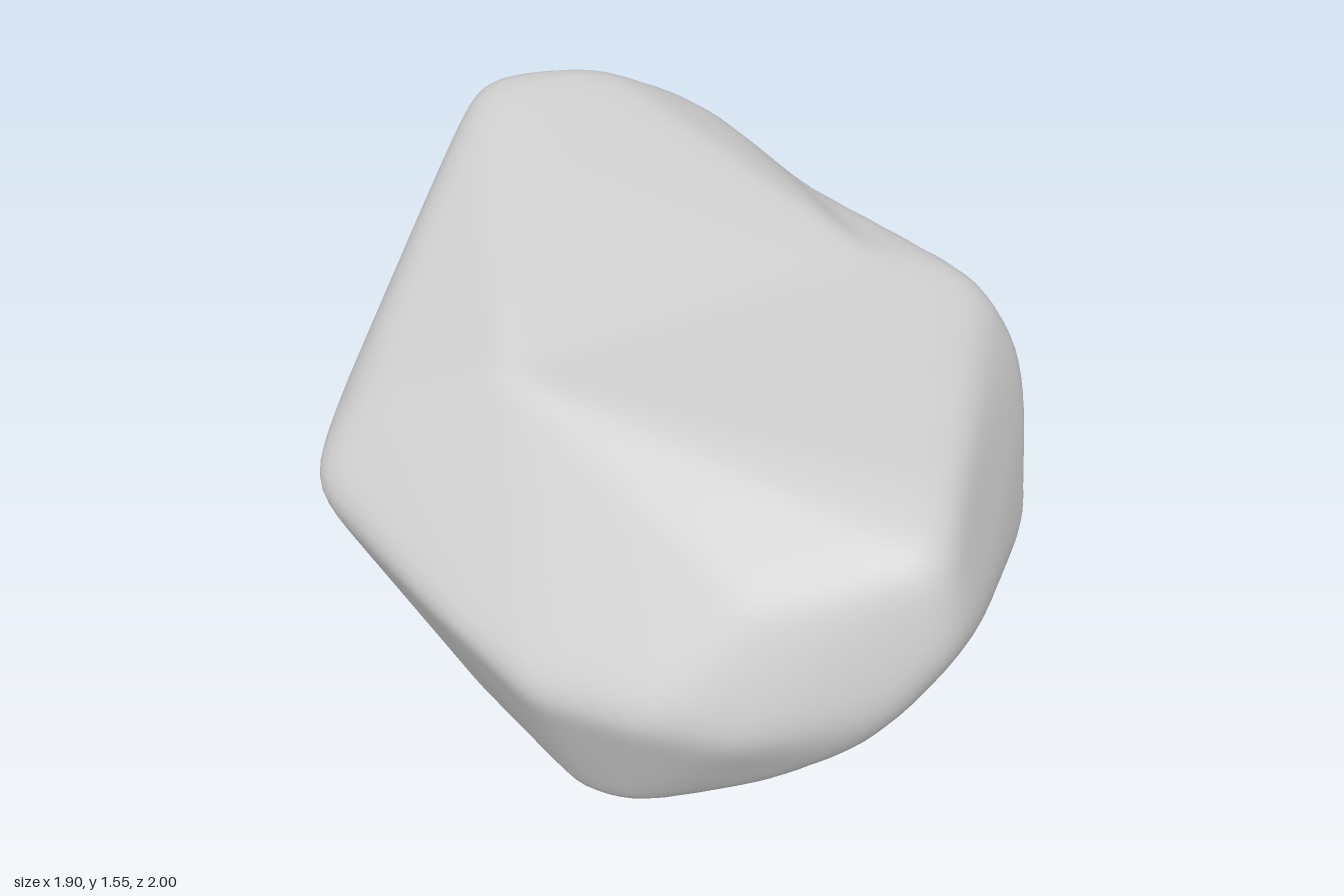
import * as THREE from 'three';
import { ConvexGeometry } from 'three/addons/geometries/ConvexGeometry.js';
import { mergeVertices } from 'three/addons/utils/BufferGeometryUtils.js';

const CENTRE = new THREE.Vector3(0, 0.65, -0.05);

// corners of the underside
const BASE = [
  [-0.605, 0.04, 0.02], [-0.44, -0.01, 0.02], [-0.45, 0.055, 0.53], [-0.37, 0.12, 0.65],
  [-0.1, 0.13, 0.69], [0.06, 0.09, 0.3], [0.06, 0.09, -0.5], [-0.33, 0.095, -0.64],
  [-0.35, 0.01, -0.23], [0.06, 0.15, -0.73], [-0.15, 0.18, -0.81], [-0.56, 0.08, -0.23],
  [0.74, 0.445, 0.3], [0.74, 0.445, -0.2], [0.5, 0.34, -0.66], [0.57, 0.42, -0.6],
  [0.42, 0.275, 0.58], [0.6, 0.41, 0.66],
];
// corners of the side walls and the back wall
const WALLS = [
  [-0.5, 0.35, -0.7], [-0.3, 0.47, -0.97], [-0.3, 1.02, -1.02], [-0.49, 1, -0.89],
  [-0.69, 0.88, -0.63], [-0.83, 0.7, -0.39], [-0.84, 0.88, -0.37], [-0.975, 0.85, -0.1],
  [-0.975, 0.79, -0.1], [-0.71, 0.27, -0.19], [-0.82, 0.49, -0.1], [-0.84, 1, -0.12],
  [0.22, 0.9, -0.88], [0.58, 1.225, -0.58], [0.59, 0.6, -0.715], [0.74, 0.75, -0.48],
  [0.82, 0.8, -0.31], [0.965, 0.79, 0.07],
];
// crest across the top, and the shoulder at its left end
const CREST = [[-0.48, 1.165, 0.1], [0.1, 1.18, 0.04], [0.6, 1.22, 0.02]];
const SHOULDER = [[0.78, 1.215, 0.08], [0.86, 1.16, 0.15], [0.945, 1, 0.2]];
const FRONT = [
  [-0.81, 0.7, 0.28], [-0.63, 0.6, 0.63], [-0.42, 0.6, 0.83], [-0.2, 0.55, 0.935],
  [-0.12, 0.88, 0.81], [-0.05, 0.3, 0.85], [0.1, 0.43, 0.95], [0.18, 0.58, 1.015],
  [0.31, 0.74, 1.025], [0.3, 0.99, 0.95], [0.4, 1.06, 0.8], [0.45, 0.75, 0.925],
  [0.3, 0.21, 0.55], [0.845, 0.6, 0.49], [0.945, 0.85, 0.28],
];
const PEAK = [
  [-0.28, 1.56, -0.8], [0.03, 1.58, -0.76], [-0.2, 1.54, -0.67], [0.35, 1.43, -0.75],
  [-0.22, 1.45, -0.94], [0.1, 1.41, -0.9],
];

// face planes of the convex block around some corners, seen from the centre
function block(...sets) {
  const points = sets.flat().map((p) => new THREE.Vector3(...p).sub(CENTRE));
  const { position, normal } = new ConvexGeometry(points).attributes;
  const planes = [];
  for (let i = 0; i < position.count; i += 3) {
    const n = new THREE.Vector3().fromBufferAttribute(normal, i);
    planes.push({ n, h: n.dot(new THREE.Vector3().fromBufferAttribute(position, i)) });
  }
  return planes;
}

// distance from the centre to a block's surface along a direction
function reach(planes, dir) {
  let r = Infinity;
  for (const { n, h } of planes) {
    const c = n.dot(dir);
    if (c > 1e-4) r = Math.min(r, h / c);
  }
  return r;
}

// soften the edges by moving each vertex towards its neighbours
function soften(geometry, rounds) {
  const pos = geometry.attributes.position, index = geometry.index.array;
  const near = Array.from({ length: pos.count }, () => new Set());
  for (let i = 0; i < index.length; i += 3) {
    for (let k = 0; k < 3; k++) {
      const a = index[i + k], b = index[i + (k + 1) % 3];
      near[a].add(b);
      near[b].add(a);
    }
  }
  const v = new THREE.Vector3();
  for (let round = 0; round < rounds; round++) {
    const old = near.map((_, i) => new THREE.Vector3().fromBufferAttribute(pos, i));
    near.forEach((set, i) => {
      v.set(0, 0, 0);
      set.forEach((j) => v.add(old[j]));
      v.divideScalar(set.size).lerp(old[i], 0.4);
      pos.setXYZ(i, v.x, v.y, v.z);
    });
  }
}

export function createModel() {
  // the boulder is the union of a low body and a high back
  const body = block(BASE, WALLS, CREST, SHOULDER, FRONT);
  const back = block(BASE, WALLS, CREST, PEAK);

  let geometry = new THREE.IcosahedronGeometry(1, 30);
  geometry.deleteAttribute('uv');
  geometry.deleteAttribute('normal');
  geometry = mergeVertices(geometry, 1e-4);
  const pos = geometry.attributes.position, dir = new THREE.Vector3();
  for (let i = 0; i < pos.count; i++) {
    dir.fromBufferAttribute(pos, i).normalize();
    const r = Math.max(reach(body, dir), reach(back, dir));
    dir.multiplyScalar(r).add(CENTRE);
    pos.setXYZ(i, dir.x, dir.y, dir.z);
  }
  soften(geometry, 4);
  geometry.computeVertexNormals();

  const rock = new THREE.Mesh(geometry, new THREE.MeshStandardMaterial({ color: 0xcccccc }));
  rock.name = 'boulder';
  const group = new THREE.Group();
  group.name = 'rock';
  group.add(rock);
  return group;
}
